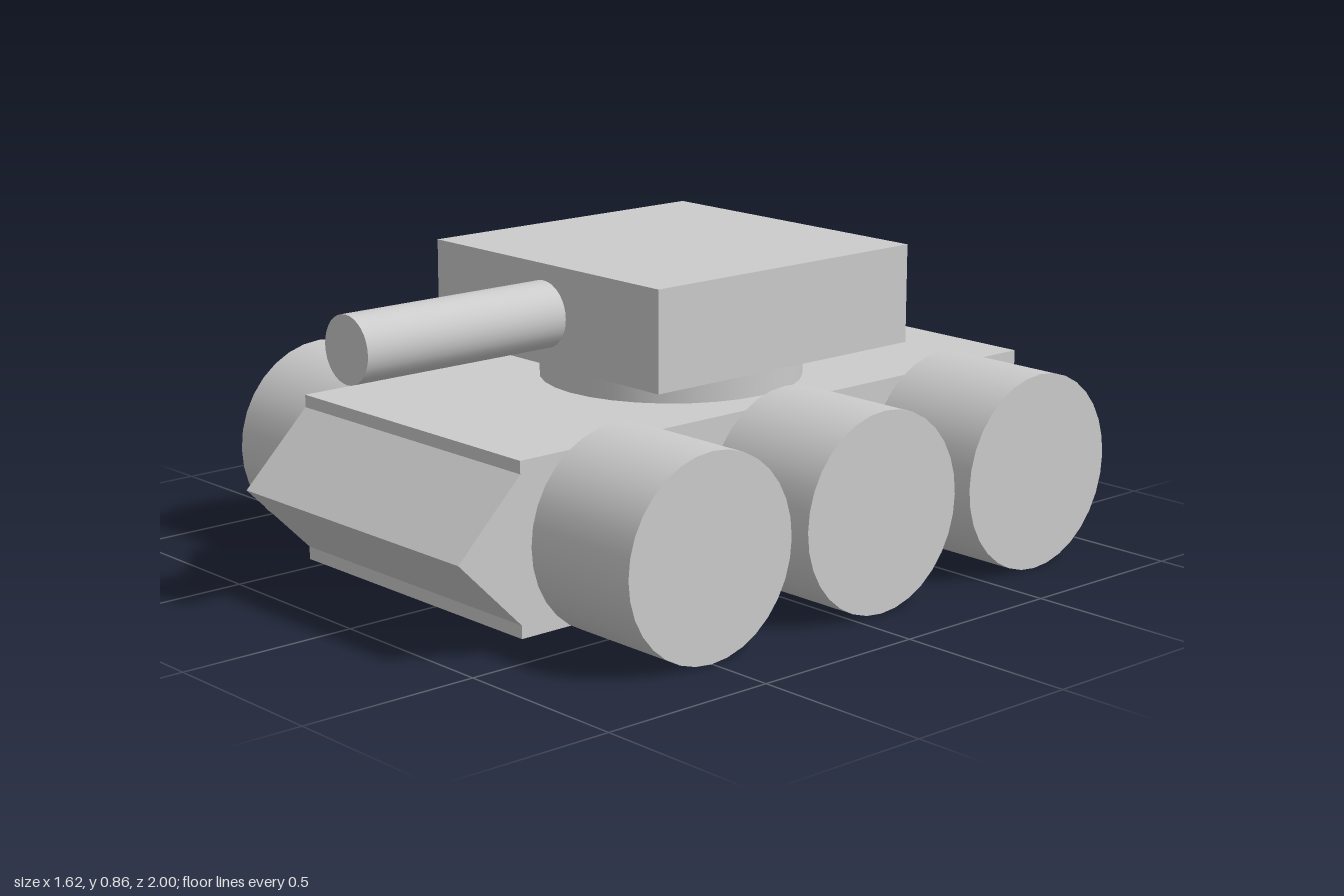
import * as THREE from 'three';

const material = new THREE.MeshStandardMaterial({ color: 0xcccccc });

export function createModel() {
  const model = new THREE.Group();
  model.name = 'armoredVehicle';

  const add = (name, geometry, x, y, z) => {
    const mesh = new THREE.Mesh(geometry, material);
    mesh.name = name;
    mesh.position.set(x, y, z);
    model.add(mesh);
    return mesh;
  };

  // Hull
  add('hull', new THREE.BoxGeometry(0.9, 0.455, 1.805), 0, 0.2725, -0.0975);

  // Wedge-shaped nose across the front of the hull
  const profile = new THREE.Shape([
    new THREE.Vector2(0, 0.193),
    new THREE.Vector2(0, -0.193),
    new THREE.Vector2(0.195, 0),
  ]);
  const noseGeometry = new THREE.ExtrudeGeometry(profile, { depth: 0.9, bevelEnabled: false });
  noseGeometry.rotateY(-Math.PI / 2);
  add('nose', noseGeometry, 0.45, 0.273, 0.805);

  // Three wide wheels on each side
  const wheelGeometry = new THREE.CylinderGeometry(0.27, 0.27, 0.36, 32);
  wheelGeometry.rotateZ(Math.PI / 2);
  for (const side of [1, -1]) {
    const sideName = side > 0 ? 'left' : 'right';
    [['Front', 0.502], ['Middle', -0.095], ['Rear', -0.692]].forEach(([row, z]) => {
      add(`${sideName}${row}Wheel`, wheelGeometry, side * 0.63, 0.273, z);
    });
  }

  // Turret on its round base
  add('turretRing', new THREE.CylinderGeometry(0.36, 0.36, 0.1, 32), 0, 0.545, -0.095);
  add('turret', new THREE.BoxGeometry(0.9, 0.27, 0.903), 0, 0.727, -0.097);

  // Gun barrel
  const barrelGeometry = new THREE.CylinderGeometry(0.09, 0.09, 0.65, 32);
  barrelGeometry.rotateX(Math.PI / 2);
  add('barrel', barrelGeometry, 0, 0.727, 0.665);

  return model;
}
